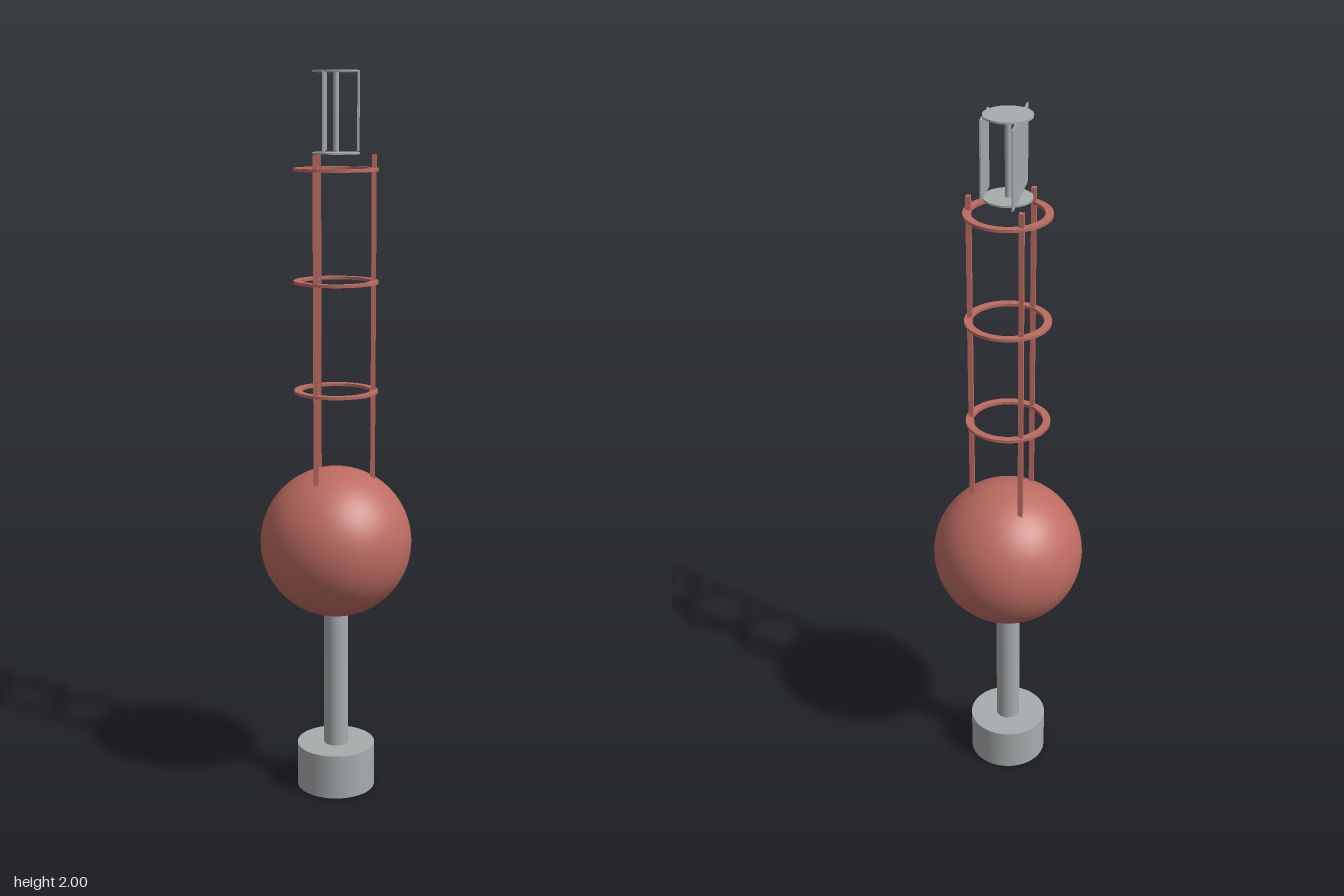
import * as THREE from 'three';

const red = new THREE.MeshStandardMaterial({ color: 0xbd6c62 });
red.name = 'buoyRed';
const grey = new THREE.MeshStandardMaterial({ color: 0xa8acae });
grey.name = 'metalGrey';

export function createModel() {
  const model = new THREE.Group();
  model.name = 'buoy';

  const add = (name, geometry, material, x, y, z) => {
    const mesh = new THREE.Mesh(geometry, material);
    mesh.name = name;
    mesh.position.set(x, y, z);
    model.add(mesh);
    return mesh;
  };
  // Upright cylinder given by its bottom and top heights
  const column = (name, radius, y0, y1) =>
    add(name, new THREE.CylinderGeometry(radius, radius, y1 - y0, 48), grey, 0, (y0 + y1) / 2, 0);

  // Ballast weight, stem and float
  column('counterweight', 0.11, 0, 0.127);
  column('stem', 0.034, 0.12, 0.6);
  add('float', new THREE.SphereGeometry(0.21, 64, 40), red, 0, 0.725, 0);

  // Three square tower legs
  for (let i = 0; i < 3; i++) {
    const a = (i * Math.PI * 2) / 3;
    add('towerLeg', new THREE.BoxGeometry(0.013, 0.925, 0.013), red,
      0.101 * Math.cos(a), 1.3225, 0.101 * Math.sin(a));
  }

  // Flat hoops around the tower
  const hoop = new THREE.Shape().absarc(0, 0, 0.114, 0, Math.PI * 2, false);
  hoop.holes.push(new THREE.Path().absarc(0, 0, 0.094, 0, Math.PI * 2, true));
  const hoopGeometry = new THREE.ExtrudeGeometry(hoop, { depth: 0.008, bevelEnabled: false, curveSegments: 48 });
  hoopGeometry.rotateX(-Math.PI / 2).translate(0, -0.004, 0);
  for (const y of [1.15, 1.448, 1.745]) add('towerHoop', hoopGeometry, red, 0, y, 0);

  // Reflector on top: two discs, a thin post and two upright plates
  column('reflectorLowerDisc', 0.063, 1.785, 1.79);
  column('reflectorUpperDisc', 0.063, 1.995, 2);
  column('reflectorPost', 0.008, 1.788, 1.997);
  add('reflectorWidePlate', new THREE.BoxGeometry(0.004, 0.204, 0.208), grey, -0.03, 1.895, 0);
  add('reflectorNarrowPlate', new THREE.BoxGeometry(0.004, 0.204, 0.102), grey, 0.059, 1.895, 0);

  return model;
}
